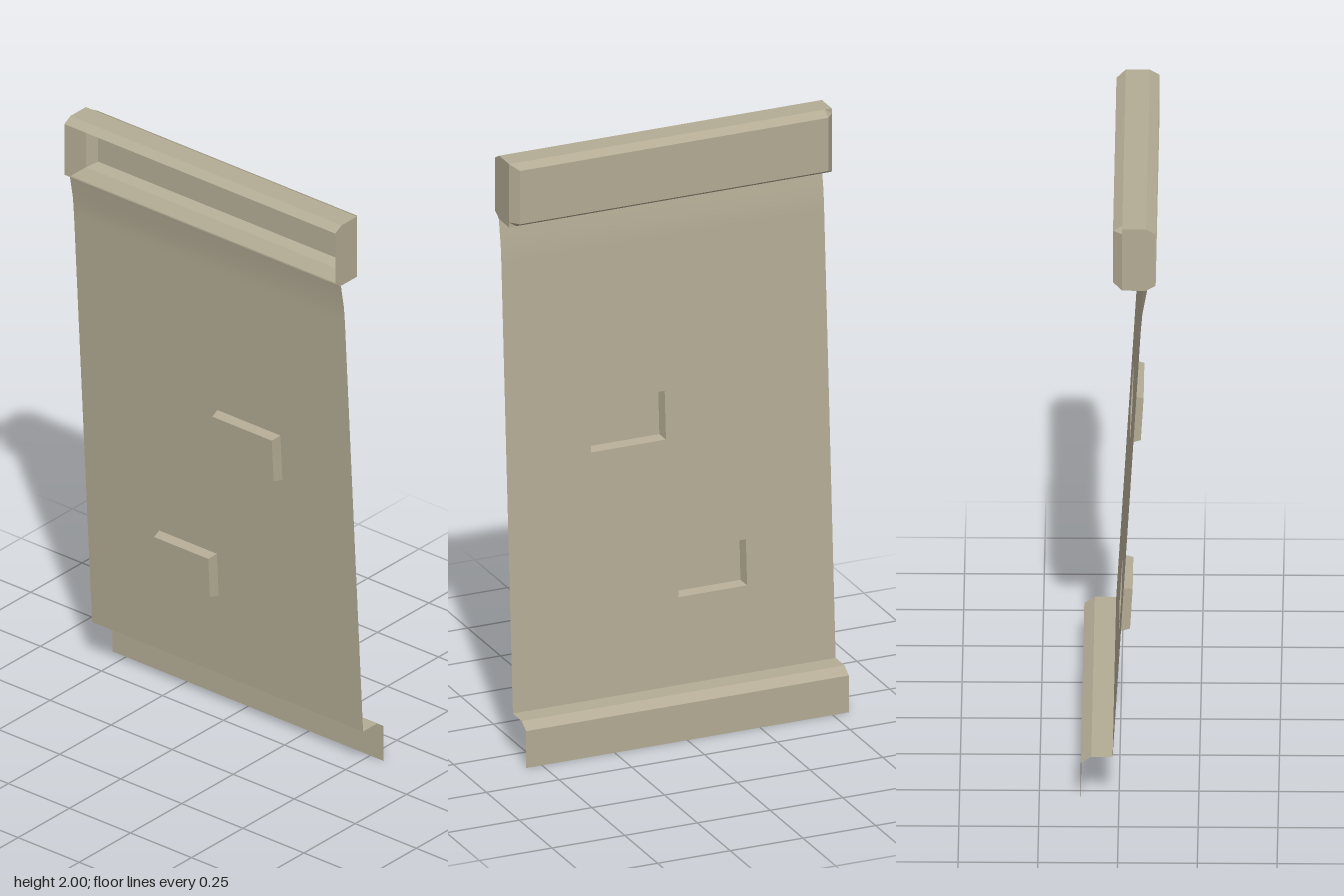
import * as THREE from 'three';
import { mergeVertices } from 'three/addons/utils/BufferGeometryUtils.js';

const W = 0.555; // half width
const SHEET_BOTTOM = 0.147, SHEET_TOP = 1.55;
const sheetZ = (y) => -0.02 + (y - SHEET_BOTTOM) * 0.059; // gentle forward lean

const flat = new THREE.MeshStandardMaterial({ color: 0xb3ab94, side: THREE.DoubleSide, flatShading: true });
const smooth = new THREE.MeshStandardMaterial({ color: 0xb3ab94, side: THREE.DoubleSide });

// Surface through rows of [x, y, z] points, all rows of equal length
function loft(rows) {
  const n = rows[0].length, index = [];
  for (let i = 0; i < rows.length - 1; i++) {
    for (let j = 0; j < n - 1; j++) {
      const a = i * n + j, b = a + 1, c = a + n, d = c + 1;
      index.push(a, c, b, b, c, d);
    }
  }
  const g = new THREE.BufferGeometry();
  g.setAttribute('position', new THREE.Float32BufferAttribute(rows.flat(2), 3));
  g.setIndex(index);
  g.computeVertexNormals();
  return g;
}

// Sheet of full width following a [z, y] profile
const across = (profile) => loft([-W, W].map((x) => profile.map(([z, y]) => [x, y, z])));

function add(parent, name, geometry, material = flat) {
  const mesh = new THREE.Mesh(geometry, material);
  mesh.name = name;
  parent.add(mesh);
}

// Corners of a rectangle lying on the leaning sheet, shrunk by inset and moved forward
const corners = ([x0, x1, y0, y1], inset = 0, forward = 0) =>
  [[x0 + inset, y0 + inset], [x1 - inset, y0 + inset], [x1 - inset, y1 - inset], [x0 + inset, y1 - inset]]
    .map(([x, y]) => [x, y, sheetZ(y) + forward]);

export function createModel() {
  const model = new THREE.Group();
  model.name = 'wallPanel';
  const bosses = { upperBoss: [0.007, 0.265, 0.965, 1.127], lowerBoss: [-0.258, -0.022, 0.437, 0.59] };

  // Leaning sheet, cut open behind each boss
  const outline = new THREE.Shape([
    new THREE.Vector2(-W, SHEET_BOTTOM), new THREE.Vector2(W, SHEET_BOTTOM),
    new THREE.Vector2(W, SHEET_TOP), new THREE.Vector2(-W, SHEET_TOP),
  ]);
  for (const rect of Object.values(bosses)) {
    outline.holes.push(new THREE.Path(corners(rect).reverse().map(([x, y]) => new THREE.Vector2(x, y))));
  }
  const sheet = new THREE.ShapeGeometry(outline);
  const pos = sheet.attributes.position;
  for (let i = 0; i < pos.count; i++) pos.setZ(i, sheetZ(pos.getY(i)));
  sheet.computeVertexNormals();
  add(model, 'sheet', sheet);

  // Top of the sheet bends forward into the hood
  const bend = across([[0.088, 1.785], [0.073, 1.70], [sheetZ(1.64), 1.64], [sheetZ(SHEET_TOP), SHEET_TOP]]);
  add(model, 'sheetBend', mergeVertices(bend), smooth);

  // Hollow bosses: slightly tapered walls and a front face
  for (const [name, rect] of Object.entries(bosses)) {
    const boss = new THREE.Group();
    boss.name = name;
    const base = corners(rect), front = corners(rect, 0.007, 0.034);
    add(boss, 'bossWalls', loft([[...front, front[0]], [...base, base[0]]]));
    add(boss, 'bossFace', loft([[front[3], front[2]], [front[0], front[1]]]));
    model.add(boss);
  }

  // Stepped lip behind the foot
  add(model, 'bottomLip', across([[-0.02, 0.147], [-0.087, 0.147], [-0.12, 0.125], [-0.12, 0]]));

  // Hood open to the front, with bevelled edges and back corners
  const hood = new THREE.Group();
  hood.name = 'hood';
  const section = (x, back) => [
    [0.115, 1.983], [0.085, 2], [0.01, 2], [back, 1.983],
    [back, 1.802], [0.01, 1.785], [0.085, 1.785], [0.115, 1.802],
  ].map(([z, y]) => [x, y, z]);
  add(hood, 'hoodShell', loft([
    section(-W, 0.01), section(-0.53, -0.019), section(0.53, -0.019), section(W, 0.01),
  ]));
  for (const side of [-1, 1]) {
    const end = section(side * W, 0.01);
    const rows = [0, 1, 2].map((i) => [end[i], end[7 - i]]);
    add(hood, side > 0 ? 'leftEnd' : 'rightEnd', loft(side > 0 ? rows : rows.reverse()));
  }
  model.add(hood);
  return model;
}
